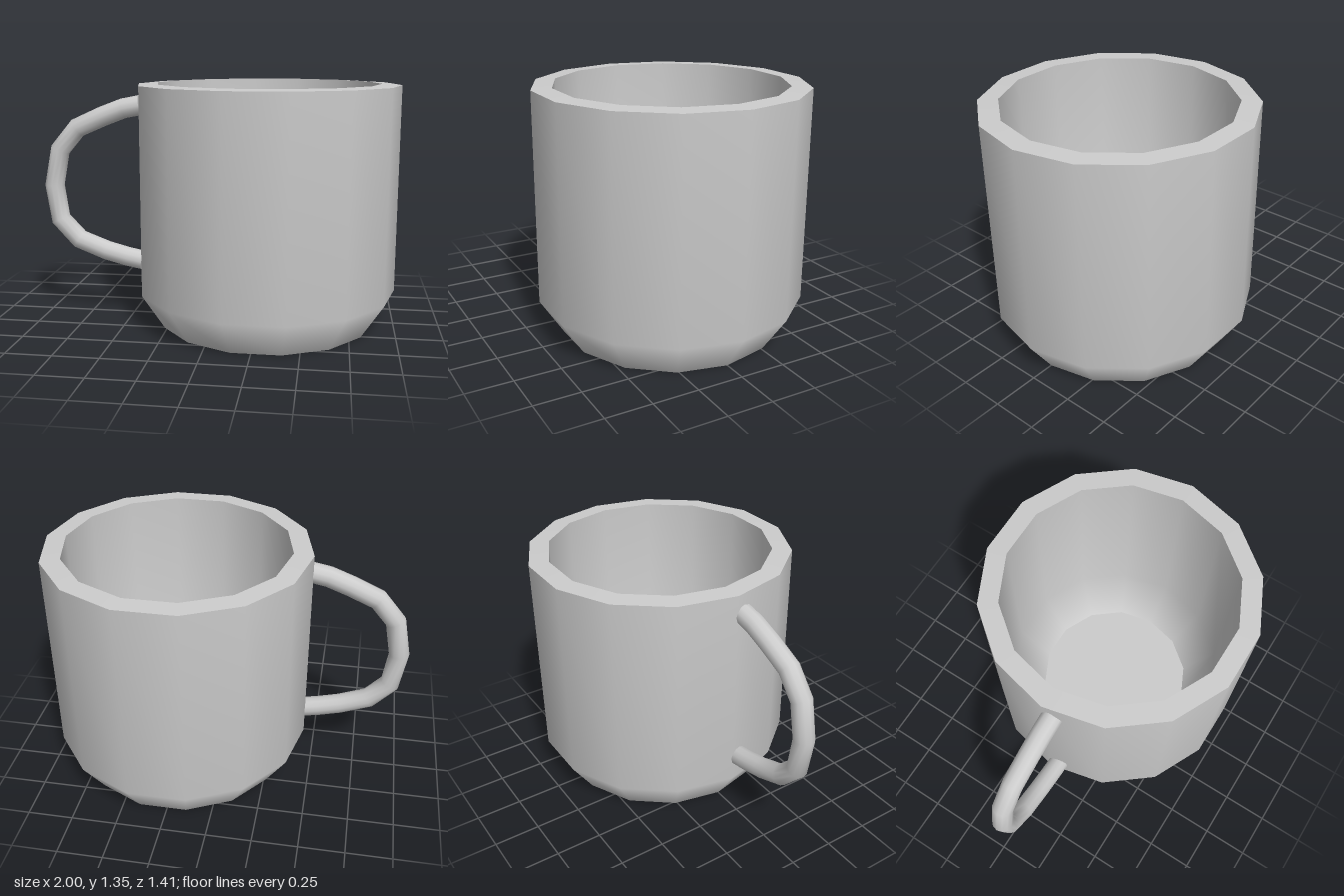
import * as THREE from 'three';

const SIDES = 14;
const CUP_X = 0.275;

// Curve that passes straight through evenly indexed points, with mitred corners
class PolylineCurve extends THREE.Curve {
  constructor(points) {
    super();
    this.points = points;
  }
  getPointAt(t) {
    const f = t * (this.points.length - 1);
    const i = Math.min(Math.floor(f), this.points.length - 2);
    return this.points[i].clone().lerp(this.points[i + 1], f - i);
  }
  getPoint(t) {
    return this.getPointAt(t);
  }
  getTangentAt(t) {
    const last = this.points.length - 1;
    const i = Math.round(t * last);
    const a = this.points[Math.max(i - 1, 0)];
    const p = this.points[i];
    const b = this.points[Math.min(i + 1, last)];
    const before = p.clone().sub(a).normalize();
    const after = b.clone().sub(p).normalize();
    return before.add(after).normalize();
  }
}

export function createModel() {
  const model = new THREE.Group();
  model.name = 'mug';
  const material = new THREE.MeshStandardMaterial({ color: 0xcccccc });

  // Cup: one lathe per smooth region, so the rim and base edges stay sharp
  const cup = new THREE.Group();
  cup.name = 'cup';
  cup.position.x = CUP_X;
  model.add(cup);

  const regions = {
    base: [[0, 0], [0.597, 0]],
    outerWall: [[0.597, 0], [0.725, 0.195], [0.725, 1.34]],
    rim: [[0.725, 1.34], [0.617, 1.346]],
    innerWall: [[0.617, 1.346], [0.617, 0.33], [0.447, 0.12]],
    innerFloor: [[0.447, 0.12], [0, 0.12]],
  };
  for (const [name, profile] of Object.entries(regions)) {
    const points = profile.map(([r, y]) => new THREE.Vector2(r, y));
    const mesh = new THREE.Mesh(new THREE.LatheGeometry(points, SIDES, Math.PI / 2), material);
    mesh.name = name;
    cup.add(mesh);
  }

  // Handle: round bar bent through a few straight segments
  const handle = new THREE.Group();
  handle.name = 'handle';
  handle.position.z = 0.047;
  model.add(handle);

  const path = [
    [-0.432, 1.222], [-0.53, 1.203], [-0.65, 1.157], [-0.8, 1.09], [-0.905, 0.965], [-0.945, 0.76],
    [-0.915, 0.56], [-0.805, 0.442], [-0.645, 0.38], [-0.52, 0.347], [-0.432, 0.33],
  ].map(([x, y]) => new THREE.Vector3(x, y, 0));
  const radius = 0.056;
  const curve = new PolylineCurve(path);
  const bar = new THREE.Mesh(new THREE.TubeGeometry(curve, path.length - 1, radius, 12), material);
  bar.name = 'handleBar';
  bar.scale.set(1, 1, 1);
  handle.add(bar);

  // End caps face outward along the bar
  for (const t of [0, 1]) {
    const cap = new THREE.Mesh(new THREE.CircleGeometry(radius, 12), material);
    const out = curve.getTangentAt(t).multiplyScalar(t === 0 ? -1 : 1);
    cap.name = t === 0 ? 'upperHandleEnd' : 'lowerHandleEnd';
    cap.position.copy(curve.getPointAt(t));
    cap.quaternion.setFromUnitVectors(new THREE.Vector3(0, 0, 1), out);
    handle.add(cap);
  }

  return model;
}
